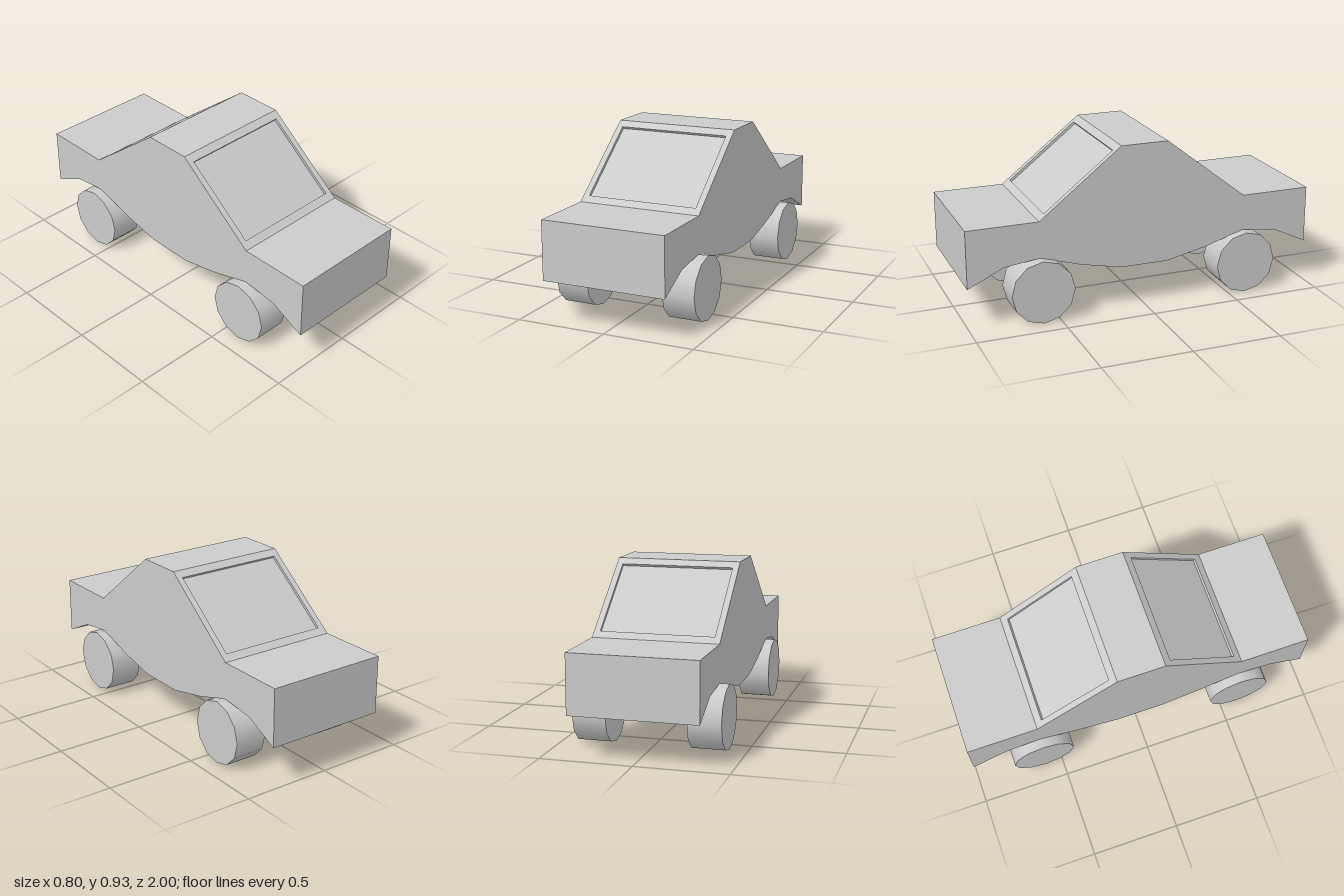
import * as THREE from 'three';
import { toCreasedNormals } from 'three/addons/utils/BufferGeometryUtils.js';

const HALF_WIDTH = 0.347;
const RECESS = 0.015;                         // depth of the window panes
const SLOPE_LOW = new THREE.Vector2(0.6, 0.56);    // (z, y) foot of the windscreen
const SLOPE_HIGH = new THREE.Vector2(0.135, 0.925); // (z, y) roof edge

export function createModel() {
  const group = new THREE.Group();
  const material = new THREE.MeshStandardMaterial({ color: 0xcccccc });
  const add = (geometry, name, parent = group) => {
    const mesh = new THREE.Mesh(geometry, material);
    mesh.name = name;
    parent.add(mesh);
    return mesh;
  };

  const slope = SLOPE_HIGH.clone().sub(SLOPE_LOW);
  const inward = new THREE.Vector2(slope.y, -slope.x).normalize().multiplyScalar(-RECESS);
  const paneLow = SLOPE_LOW.clone().add(inward);
  const paneHigh = SLOPE_HIGH.clone().add(inward);

  // Body: mirrored side profile, with the slopes set back to the pane depth
  const half = [
    [0.135, 0.235], [0.37, 0.285], [0.6, 0.355], [0.8, 0.33], [1, 0.235], [1, 0.56],
    SLOPE_LOW.toArray(), paneLow.toArray(), paneHigh.toArray(), SLOPE_HIGH.toArray(),
  ];
  const mirrored = half.map(([z, y]) => [-z, y]).reverse();
  const profile = new THREE.Shape([...half, ...mirrored].map(([z, y]) => new THREE.Vector2(z, y)));
  const body = new THREE.ExtrudeGeometry(profile, { depth: 2 * HALF_WIDTH, bevelEnabled: false });
  body.translate(0, 0, -HALF_WIDTH).rotateY(-Math.PI / 2);
  add(toCreasedNormals(body, 0.58), 'body');

  // Window frames: flush plates with an opening, front and back
  const rectangle = (Type, w, h) => new Type([[-w, -h], [w, -h], [w, h], [-w, h]]
    .map(([x, y]) => new THREE.Vector2(x, y)));
  const halfLength = slope.length() / 2;
  const plate = rectangle(THREE.Shape, HALF_WIDTH, halfLength);
  plate.holes.push(rectangle(THREE.Path, 0.313, halfLength - 0.047));
  const frame = new THREE.ExtrudeGeometry(plate, { depth: RECESS, bevelEnabled: false });
  const centre = paneLow.clone().add(paneHigh).multiplyScalar(0.5);
  frame.rotateX(-Math.atan2(-slope.x, slope.y)).translate(0, centre.y, centre.x);
  add(frame, 'windscreenFrame');
  add(frame, 'rearWindowFrame').rotation.y = Math.PI;

  // Wheels
  const wheel = new THREE.CylinderGeometry(0.177, 0.177, 0.182, 12).rotateZ(Math.PI / 2);
  for (const [side, x] of [['Left', 0.31], ['Right', -0.31]]) {
    for (const [end, z] of [['front', 0.598], ['rear', -0.598]]) {
      add(wheel, `${end}${side}Wheel`).position.set(x, 0.177, z);
    }
  }
  return group;
}
